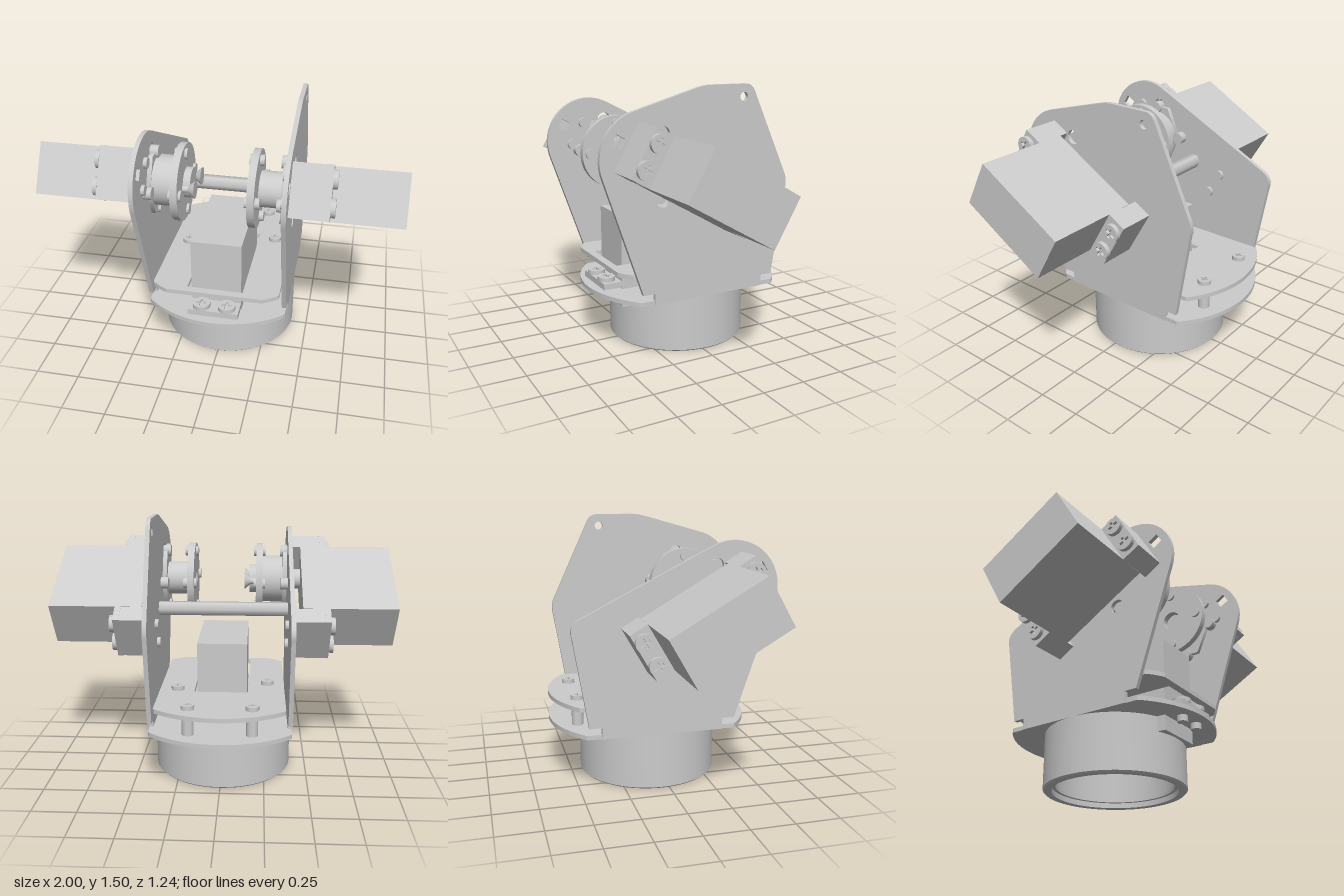
import * as THREE from 'three';
import { toCreasedNormals } from 'three/addons/utils/BufferGeometryUtils.js';

const mat = new THREE.MeshStandardMaterial({ color: 0xcccccc, side: THREE.DoubleSide });
const DEG = Math.PI / 180;

function add(parent, name, geo, x = 0, y = 0, z = 0) {
  const m = new THREE.Mesh(geo, mat);
  m.name = name;
  m.position.set(x, y, z);
  parent.add(m);
  return m;
}
const box = (p, n, w, h, d, x, y, z) => add(p, n, new THREE.BoxGeometry(w, h, d), x, y, z);
// Upright cylinder from y0 to y1
const rod = (p, n, r, y0, y1, x, z, seg = 32, rTop = r) =>
  add(p, n, new THREE.CylinderGeometry(rTop, r, y1 - y0, seg), x, (y0 + y1) / 2, z);
// Cylinder along x from x0 to x1
const rodX = (p, n, r, x0, x1, y, z, seg = 40) =>
  add(p, n, new THREE.CylinderGeometry(r, r, Math.abs(x1 - x0), seg).rotateZ(Math.PI / 2), (x0 + x1) / 2, y, z);
const extrude = (shape, depth) =>
  new THREE.ExtrudeGeometry(shape, { depth, bevelEnabled: false, curveSegments: 40 });
const circle = (x, y, r) => new THREE.Path().absarc(x, y, r, 0, Math.PI * 2, true);

// Round screw head with a cross recess, sitting on y
function screw(parent, x, y, z, r = 0.05, h = 0.025) {
  const g = new THREE.Group();
  g.name = 'screw';
  g.position.set(x, y, z);
  const a = r * 0.16, b = r * 0.6;
  const s = new THREE.Shape().absarc(0, 0, r, 0, Math.PI * 2);
  s.holes.push(new THREE.Path([[a, a], [b, a], [b, -a], [a, -a], [a, -b], [-a, -b], [-a, -a], [-b, -a],
    [-b, a], [-a, a], [-a, b], [a, b]].map(p => new THREE.Vector2(...p))));
  rod(g, 'screwBase', r, 0, h * 0.4, 0, 0);
  add(g, 'screwTop', extrude(s, h * 0.6).rotateX(-Math.PI / 2), 0, h * 0.4, 0);
  parent.add(g);
}

// Servo: output shaft at the origin pointing down, body rising along +y
function servo(name, spacers) {
  const g = new THREE.Group(), mid = 0.146;
  g.name = name;
  box(g, 'servoBody', 0.29, 0.54, 0.56, 0, 0.27, mid);
  box(g, 'servoFlange', 0.29, 0.035, 0.78, 0, 0.1375, mid);
  rod(g, 'outputShaft', 0.06, -0.04, 0, 0, 0);
  rod(g, 'shaftScrew', 0.03, -0.1, -0.04, 0, 0, 6);
  for (const e of [-1, 1]) {
    const z = mid + e * 0.335;
    if (spacers) box(g, 'mountBlock', 0.287, 0.18, 0.11, 0, 0.03, z);
    for (const s of [-1, 1]) {
      screw(g, s * 0.073, 0.155, z + e * 0.01);
      rod(g, 'nut', 0.03, spacers ? -0.1 : 0.05, 0.1, s * 0.073, z + e * 0.01, 12);
    }
  }
  return g;
}

// Round deck trimmed to straight sides and front
function deck(w, front, hole) {
  const pts = [];
  for (let i = 0; i < 180; i++) {
    const a = i * 2 * DEG;
    pts.push(new THREE.Vector2(THREE.MathUtils.clamp(0.585 * Math.cos(a), -w, w),
      Math.max(0.04 + 0.585 * Math.sin(a), -front)));
  }
  const s = new THREE.Shape(pts), [hx, z0, z1] = hole;
  s.holes.push(new THREE.Path([[-hx, -z0], [hx, -z0], [hx, -z1], [-hx, -z1]].map(p => new THREE.Vector2(...p))));
  return extrude(s, 0.025).rotateX(-Math.PI / 2);
}

// Side plate outline, drawn with horizontal = -z
function sidePlate(tall) {
  const s = new THREE.Shape();
  s.moveTo(-0.31, 0.325);
  s.lineTo(-0.31, 0.39);
  s.lineTo(-0.38, 0.39);
  s.absarc(-0.36, 1.135, 0.26, 199 * DEG, (tall ? 104.5 : 63) * DEG, true);
  if (tall) {
    s.lineTo(-0.07, 1.488);
    s.quadraticCurveTo(-0.01, 1.505, 0.03, 1.505);
    s.lineTo(0.25, 1.505);
    s.quadraticCurveTo(0.29, 1.505, 0.31, 1.465);
    s.lineTo(0.53, 0.99);
    s.quadraticCurveTo(0.55, 0.945, 0.54, 0.9);
  } else {
    s.lineTo(0.49, 1.0);
    s.quadraticCurveTo(0.56, 0.965, 0.54, 0.9);
  }
  s.lineTo(0.455, 0.39);
  s.lineTo(0.385, 0.39);
  s.lineTo(0.385, 0.325);
  s.closePath();
  if (tall) s.holes.push(circle(0.24, 1.435, 0.025));
  for (const y of [1.262, 0.908]) s.holes.push(circle(-0.26, y, 0.04));
  const slot = new THREE.Path();
  for (let i = 0; i < 4; i++) {
    const a = (-75 - 90 * i) * DEG, x = -0.515 + 0.043 * Math.cos(a), y = 1.235 + 0.043 * Math.sin(a);
    if (i) slot.lineTo(x, y); else slot.moveTo(x, y);
  }
  s.holes.push(slot);
  return extrude(s, 0.025).rotateY(Math.PI / 2);
}

export function createModel() {
  const model = new THREE.Group();
  model.name = 'panTiltBracket';

  // Hollow base ring
  const ring = [[0.335, 0.03], [0.355, 0.03], [0.355, 0], [0.397, 0], [0.405, 0.008], [0.405, 0.325],
    [0.345, 0.325], [0.345, 0.05], [0.335, 0.05], [0.335, 0.03]].map(p => new THREE.Vector2(...p));
  add(model, 'baseRing', toCreasedNormals(new THREE.LatheGeometry(ring, 96), 0.5), 0, 0, -0.035);

  // Decks, standoffs and pan servo
  add(model, 'lowerDeck', deck(0.4, 0.6, [0.147, -0.19, 0.39]), 0, 0.325, 0);
  add(model, 'upperDeck', deck(0.365, 0.475, [0.16, -0.21, 0.43]), 0, 0.475, 0);
  for (const [x, z] of [[-0.18, -0.485], [0.175, -0.485], [0.26, -0.165], [-0.265, -0.05]]) {
    rod(model, 'standoff', 0.033, 0.35, 0.475, x, z);
    screw(model, x, 0.5, z, 0.038);
  }
  const pan = servo('panServo', false);
  pan.position.set(0, 0.24, -0.035);
  model.add(pan);

  // Crossbar between the plates
  rodX(model, 'crossbar', 0.043, -0.38, 0.38, 0.953, -0.01, 6);

  const hy = 1.085, hz = 0.26;
  for (const s of [1, -1]) {
    const side = new THREE.Group();
    side.name = s > 0 ? 'leftSide' : 'rightSide';
    model.add(side);
    add(side, 'sidePlate', sidePlate(s > 0), s > 0 ? 0.38 : -0.405, 0, 0);
    rodX(side, 'crossbarScrew', 0.045, s * 0.405, s * 0.43, 0.953, -0.01);

    // Tilt servo, tipped thirty degrees
    const tilt = servo('tiltServo', true);
    const up = new THREE.Vector3(s, 0, 0), along = new THREE.Vector3(0, -0.5, -0.866);
    tilt.quaternion.setFromRotationMatrix(
      new THREE.Matrix4().makeBasis(new THREE.Vector3().crossVectors(up, along), up, along));
    tilt.position.set(s * 0.46, hy, hz);
    side.add(tilt);

    // Horn backing plate, hub and drilled disc
    const inner = s > 0 ? 0.18 : -0.23, hubR = s > 0 ? 0.1 : 0.142;
    const backing = rodX(side, 'hornPlate', 0.2, s * 0.35, s * 0.375, hy, hz, 6);
    backing.scale.z = 0.8;
    rodX(side, 'hub', hubR, s * 0.225, s * 0.36, hy, hz);
    const disc = new THREE.Shape().absarc(0, 0, 0.217, 0, Math.PI * 2);
    disc.holes.push(circle(0, 0, 0.055));
    add(side, 'hornDisc', extrude(disc, 0.04).rotateY(Math.PI / 2), inner, hy, hz);
    for (let i = 0; i < 4; i++) {
      const y = hy + 0.17 * Math.cos(i * Math.PI / 2), z = hz + 0.17 * Math.sin(i * Math.PI / 2);
      const face = s > 0 ? 0.165 : -0.175;
      rodX(side, 'discScrew', 0.03, face, s * 0.245, y, z, 16);
      rodX(side, 'plateScrew', 0.035, s * 0.335, s * 0.38, y, z, 16);
    }
    if (s < 0) {
      // Collar and flared screws on the driven hub
      rodX(side, 'collar', 0.085, -0.19, -0.15, hy, hz);
      for (const dz of [-0.083, 0.083]) {
        add(side, 'flaredScrew', new THREE.CylinderGeometry(0.018, 0.05, 0.04, 24).rotateZ(Math.PI / 2),
          -0.14, hy, hz + dz);
        rodX(side, 'flaredScrewShank', 0.02, -0.19, -0.15, hy, hz + dz, 16);
      }
    }
  }
  return model;
}
